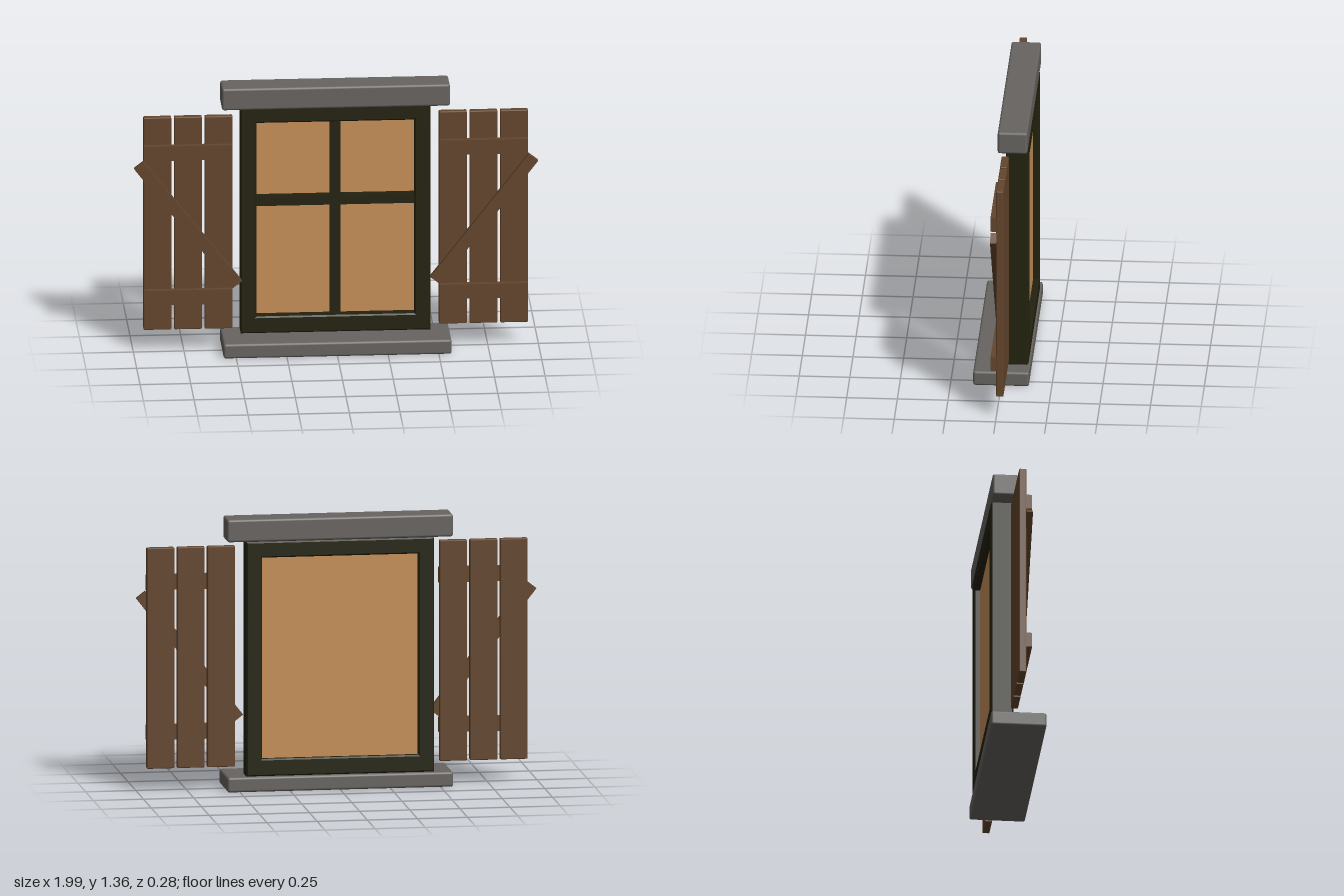
import * as THREE from 'three';
import { RoundedBoxGeometry } from 'three/addons/geometries/RoundedBoxGeometry.js';

const material = (name, color) => {
  const m = new THREE.MeshStandardMaterial({ color });
  m.name = name;
  return m;
};

export function createModel() {
  const stone = material('grey stone', 0x676460);
  const darkWood = material('dark frame wood', 0x23220f);
  const wood = material('brown shutter wood', 0x64462d);
  const pane = material('amber glass', 0xc8905a);

  const root = new THREE.Group();
  root.name = 'shutteredWindow';

  // Box given by its limits on each axis; a radius above 0 softens the edges
  const block = (parent, name, mat, [x0, x1], [y0, y1], [z0, z1], radius = 0, segments = 2) => {
    const size = [x1 - x0, y1 - y0, z1 - z0];
    const geometry = radius
      ? new RoundedBoxGeometry(...size, segments, radius)
      : new THREE.BoxGeometry(...size);
    const mesh = new THREE.Mesh(geometry, mat);
    mesh.name = name;
    mesh.position.set((x0 + x1) / 2, (y0 + y1) / 2, (z0 + z1) / 2);
    parent.add(mesh);
    return mesh;
  };

  // Stone sill and lintel
  block(root, 'sill', stone, [-0.563, 0.563], [0, 0.075], [-0.138, 0.138], 0.012);
  block(root, 'lintel', stone, [-0.563, 0.563], [1.25, 1.363], [-0.13, 0.017], 0.012);

  // Window frame: one bevelled ring
  const rectangle = (Type, x, y0, y1) => new Type([
    new THREE.Vector2(-x, y0), new THREE.Vector2(x, y0),
    new THREE.Vector2(x, y1), new THREE.Vector2(-x, y1),
  ]);
  const outline = rectangle(THREE.Shape, 0.468, 0.077, 1.25);
  outline.holes.push(rectangle(THREE.Path, 0.39, 0.163, 1.17));
  const bevel = 0.007;
  const frame = new THREE.Mesh(new THREE.ExtrudeGeometry(outline, {
    depth: 0.112 - 2 * bevel, bevelThickness: bevel, bevelSize: bevel,
    bevelOffset: -bevel, bevelSegments: 1,
  }), darkWood);
  frame.name = 'frame';
  frame.position.z = -0.13 + bevel;
  root.add(frame);

  // Glass and the glazing bars in front of it
  block(root, 'glass', pane, [-0.392, 0.392], [0.16, 1.172], [-0.1, -0.075]);
  block(root, 'verticalBar', darkWood, [-0.026, 0.026], [0.16, 1.172], [-0.076, -0.034]);
  block(root, 'horizontalBar', darkWood, [-0.392, 0.392], [0.733, 0.783], [-0.076, -0.036]);

  // Shutters, mirrored about x = 0
  for (const side of [1, -1]) {
    const shutter = new THREE.Group();
    shutter.name = side > 0 ? 'leftShutter' : 'rightShutter';
    const span = (a, b) => (side > 0 ? [a, b] : [-b, -a]);

    // Three upright planks
    for (let i = 0; i < 3; i++) {
      const x = 0.51 + i * 0.151;
      block(shutter, 'plank', wood, span(x, x + 0.137), [0.112, 1.216], [-0.036, 0], 0.005, 1);
    }
    // Cross battens
    for (const y of [0.25, 1.0]) {
      block(shutter, 'batten', wood, span(0.511, 0.948), [y, y + 0.075], [-0.003, 0.028]);
    }
    // Diagonal brace
    const brace = block(shutter, 'brace', wood, [-0.397, 0.397], [-0.029, 0.029], [-0.003, 0.0275]);
    brace.position.set(side * 0.731, 0.662, 0.01225);
    brace.rotation.z = side * THREE.MathUtils.degToRad(52.3);
    root.add(shutter);
  }

  return root;
}
